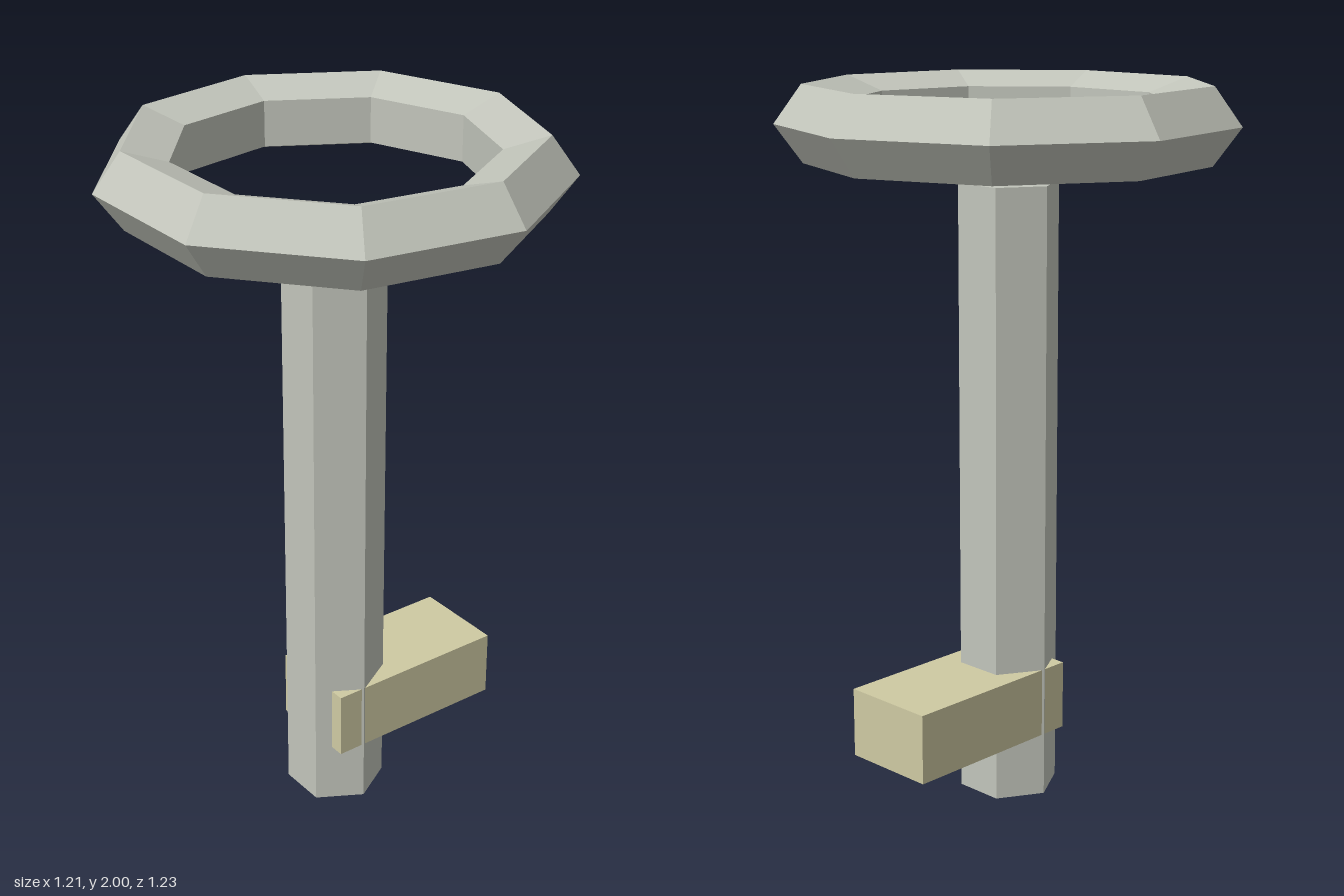
import * as THREE from 'three';

export function createModel() {
  const model = new THREE.Group();
  const metal = new THREE.MeshStandardMaterial({ color: 0xc2c5bb, flatShading: true });
  metal.name = 'paleMetal';
  const brass = new THREE.MeshStandardMaterial({ color: 0xcfcaa3, flatShading: true });
  brass.name = 'paleBrass';

  const add = (name, geometry, material, x, y) => {
    const mesh = new THREE.Mesh(geometry, material);
    mesh.name = name;
    mesh.position.set(x, y, 0);
    model.add(mesh);
  };

  const axisX = -0.019; // shared axis of ring and shaft

  // Nine-sided ring handle with a five-sided section, lying flat on top
  add('ringHandle', new THREE.TorusGeometry(0.515, 0.109, 5, 9).rotateX(Math.PI / 2), metal, axisX, 1.896);

  // Hexagonal shaft, separate from the ring
  add('shaft', new THREE.CylinderGeometry(0.141, 0.141, 1.737, 6), metal, axisX, 0.8685);

  // Block-shaped bit, pierced by the shaft edges
  add('bit', new THREE.BoxGeometry(0.55, 0.196, 0.275), brass, 0.175, 0.278);

  return model;
}
